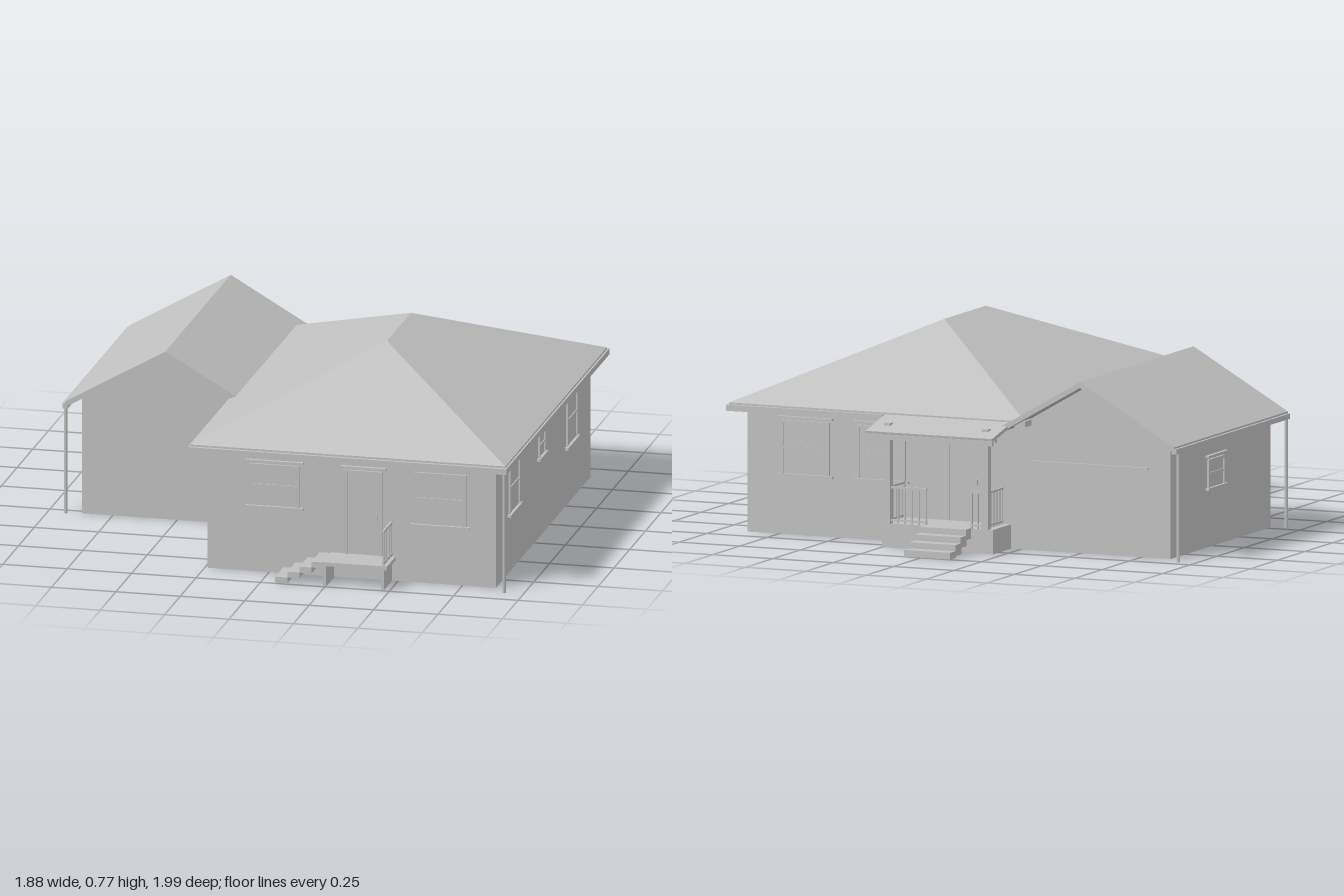
import * as THREE from 'three';

const plaster = new THREE.MeshStandardMaterial({ color: 0xc0c0c0 });
plaster.name = 'plain grey';

function add(parent, name, geometry) {
  const mesh = new THREE.Mesh(geometry, plaster);
  mesh.name = name;
  parent.add(mesh);
  return mesh;
}

// Box given by its limits on each axis
function block(parent, name, x0, x1, y0, y1, z0, z1) {
  const mesh = add(parent, name, new THREE.BoxGeometry(x1 - x0, y1 - y0, z1 - z0));
  mesh.position.set((x0 + x1) / 2, (y0 + y1) / 2, (z0 + z1) / 2);
  return mesh;
}

// Outline in x,y extruded from z0 to z1
function prism(parent, name, points, z0, z1) {
  const shape = new THREE.Shape(points.map(([x, y]) => new THREE.Vector2(x, y)));
  const mesh = add(parent, name, new THREE.ExtrudeGeometry(shape, { depth: z1 - z0, bevelEnabled: false }));
  mesh.position.z = z0;
  return mesh;
}

// Framed opening facing local +z, standing on its origin
function opening(parent, name, x, y, z, angle, w, h, isDoor) {
  const g = new THREE.Group();
  g.name = name;
  g.position.set(x, y, z);
  g.rotation.y = angle;
  const a = w / 2, t = 0.01;
  block(g, 'pane', -a, a, 0, h, -0.002, 0.003);
  for (const s of [-1, 1]) block(g, 'jamb', s * a - t / 2, s * a + t / 2, 0, h, 0, 0.008);
  block(g, 'head', -a - 0.005, a + 0.005, h - t, h, 0, 0.008);
  if (isDoor) {
    block(g, 'handle', a - 0.02, a - 0.013, 0.14, 0.16, 0, 0.012);
  } else {
    block(g, 'meetingRail', -a, a, h / 2 - 0.004, h / 2 + 0.004, 0, 0.007);
    block(g, 'sill', -a - 0.02, a + 0.02, -0.008, 0.002, 0, 0.014);
  }
  block(g, 'hood', -a - 0.02, a + 0.02, h + 0.008, h + 0.016, 0, 0.014);
  parent.add(g);
}

// Straight railing with evenly spaced balusters
function railing(parent, x0, z0, x1, z1, y0, y1, count) {
  const g = new THREE.Group();
  g.name = 'railing';
  const t = 0.004;
  for (const y of [y0 + 0.012, y1])
    block(g, 'rail', Math.min(x0, x1) - t, Math.max(x0, x1) + t, y - 0.004, y + 0.004,
      Math.min(z0, z1) - t, Math.max(z0, z1) + t);
  for (let i = 0; i <= count; i++) {
    const x = x0 + (x1 - x0) * i / count, z = z0 + (z1 - z0) * i / count;
    block(g, 'baluster', x - 0.003, x + 0.003, y0, y1, z - 0.003, z + 0.003);
  }
  parent.add(g);
}

// Hip roof from four eave corners and two ridge ends
function hipRoof(x0, x1, z0, z1, y, ridgeX, ridgeY, rz0, rz1) {
  const p = [[x0, y, z0], [x1, y, z0], [x1, y, z1], [x0, y, z1], [ridgeX, ridgeY, rz0], [ridgeX, ridgeY, rz1]];
  const faces = [0, 4, 1, 3, 2, 5, 0, 3, 5, 0, 5, 4, 1, 4, 5, 1, 5, 2];
  const g = new THREE.BufferGeometry();
  g.setAttribute('position', new THREE.Float32BufferAttribute(faces.flatMap(i => p[i]), 3));
  g.computeVertexNormals();
  return g;
}

export function createModel() {
  const house = new THREE.Group();
  house.name = 'house';

  // Main body over an open foundation
  block(house, 'mainWalls', -0.24, 0.88, 0.09, 0.48, -0.64, 0.86);
  for (const z of [-0.64, 0.845]) block(house, 'foundationEnd', -0.24, 0.88, 0, 0.09, z, z + 0.015);
  for (const x of [-0.24, 0.865]) block(house, 'foundationSide', x, x + 0.015, 0, 0.09, -0.625, 0.845);

  // Main roof with eaves and gutters
  block(house, 'eaves', -0.295, 0.93, 0.475, 0.497, -0.7, 0.915);
  add(house, 'mainRoof', hipRoof(-0.295, 0.93, -0.7, 0.915, 0.497, 0.32, 0.77, -0.08, 0.3));
  block(house, 'frontGutter', -0.3, 0.937, 0.467, 0.49, 0.913, 0.928);
  block(house, 'sideGutter', 0.925, 0.937, 0.467, 0.49, -0.71, 0.92);
  block(house, 'backGutter', 0.29, 0.937, 0.467, 0.49, -0.715, -0.698);
  block(house, 'innerGutter', -0.3, -0.29, 0.467, 0.49, 0.3, 0.92);

  // Garage wing and its gable roof
  prism(house, 'garageWalls', [[-0.87, 0], [-0.24, 0], [-0.24, 0.47], [-0.54, 0.645], [-0.87, 0.455]], -0.64, 0.275);
  prism(house, 'garageRoof', [[-0.93, 0.42], [-0.54, 0.645], [-0.22, 0.46], [-0.22, 0.482], [-0.54, 0.667], [-0.93, 0.442]], -0.74, 0.3);
  block(house, 'garageGutter', -0.94, -0.92, 0.415, 0.435, -0.74, 0.3);
  block(house, 'garageDoorHead', -0.78, -0.29, 0.335, 0.342, -0.65, -0.64);

  // Downpipes
  for (const [x, z, h] of [[0.925, 0.915, 0.475], [-0.93, 0.285, 0.425], [-0.93, -0.7, 0.425]]) {
    const pipe = add(house, 'downpipe', new THREE.CylinderGeometry(0.007, 0.007, h, 8));
    pipe.position.set(x, h / 2, z);
  }

  // Windows and doors
  const right = Math.PI / 2, back = Math.PI;
  opening(house, 'frontWindow', 0.022, 0.26, 0.86, 0, 0.185, 0.165);
  opening(house, 'frontWindow', 0.665, 0.23, 0.86, 0, 0.19, 0.205);
  opening(house, 'frontDoor', 0.367, 0.095, 0.86, 0, 0.135, 0.33, true);
  opening(house, 'sideWindow', 0.88, 0.23, 0.583, right, 0.15, 0.205);
  opening(house, 'sideWindow', 0.88, 0.23, -0.33, right, 0.15, 0.205);
  opening(house, 'smallWindow', 0.88, 0.315, 0.145, right, 0.09, 0.095);
  opening(house, 'backWindow', 0.64, 0.23, -0.64, back, 0.19, 0.205);
  opening(house, 'backWindow', 0.325, 0.23, -0.64, back, 0.19, 0.205);
  opening(house, 'backDoor', -0.02, 0.095, -0.64, back, 0.135, 0.33, true);
  opening(house, 'garageWindow', -0.87, 0.225, -0.23, -right, 0.14, 0.11);

  // Front landing with steps running sideways
  block(house, 'frontLanding', 0.24, 0.49, 0.08, 0.095, 0.86, 0.995);
  for (const x of [0.24, 0.465]) block(house, 'landingSupport', x, x + 0.012, 0, 0.08, 0.86, 0.99);
  for (let i = 0; i < 4; i++)
    block(house, 'frontStep', 0.055 + i * 0.047, 0.102 + i * 0.047, i * 0.023, (i + 1) * 0.023, 0.86, 0.99);
  railing(house, 0.475, 0.87, 0.475, 0.99, 0.095, 0.23, 4);

  // Back porch deck, steps and railings
  block(house, 'backDeck', -0.21, 0.25, 0, 0.093, -0.805, -0.64);
  for (let i = 0; i < 4; i++)
    block(house, 'backStep', -0.12, 0.07, Math.max(0, 0.055 - i * 0.024), 0.095 - i * 0.023, -0.855 - i * 0.048, -0.8 - i * 0.048);
  for (const x of [-0.18, 0.225]) {
    block(house, 'porchPost', x - 0.013, x + 0.013, 0.09, 0.475, -0.813, -0.787);
    railing(house, x, -0.655, x, -0.79, 0.093, 0.23, 5);
  }
  railing(house, -0.17, -0.8, -0.12, -0.8, 0.093, 0.23, 2);
  railing(house, 0.07, -0.8, 0.215, -0.8, 0.093, 0.23, 5);

  // Sloping porch roof on a beam
  block(house, 'porchBeam', -0.22, 0.27, 0.425, 0.45, -0.81, -0.79);
  const roof = block(house, 'porchRoof', -0.24, 0.285, 0.462, 0.476, -0.88, -0.65);
  roof.rotation.x = -0.22;
  block(house, 'porchGutter', -0.24, 0.287, 0.423, 0.442, -0.88, -0.865);

  return house;
}
